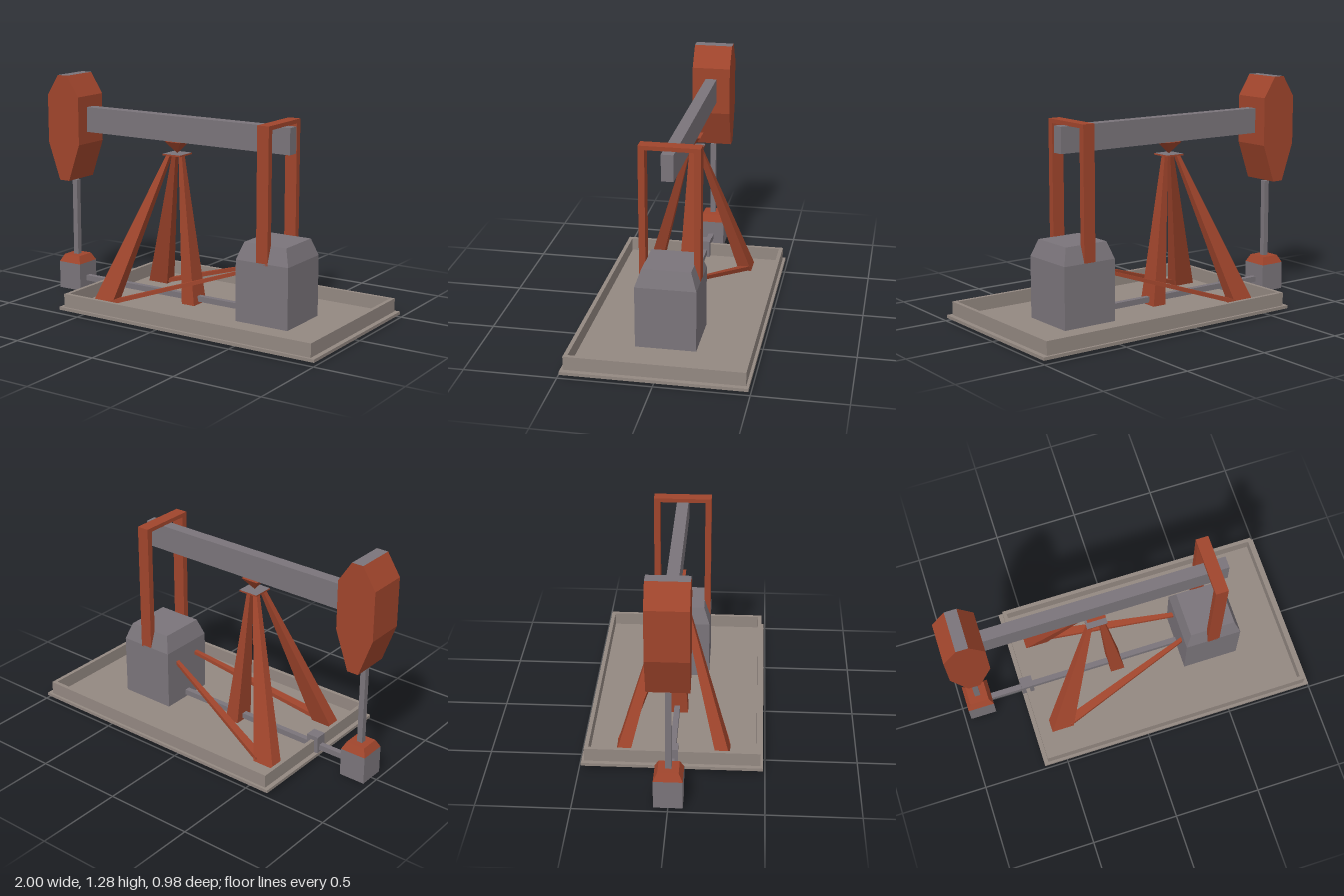
import * as THREE from 'three';

const mat = (color) => new THREE.MeshStandardMaterial({ color, flatShading: true });

export function createModel() {
  const root = new THREE.Group();
  const red = mat(0xa0452c), grey = mat(0x7a747a), stone = mat(0x938881);

  const add = (name, geometry, material, parent = root) => {
    const mesh = new THREE.Mesh(geometry, material);
    mesh.name = name;
    parent.add(mesh);
    return mesh;
  };
  const group = (name) => {
    const g = new THREE.Group();
    g.name = name;
    root.add(g);
    return g;
  };

  // Box given by its limits on each axis
  const box = (x0, x1, y0, y1, z0, z1) =>
    new THREE.BoxGeometry(x1 - x0, y1 - y0, z1 - z0)
      .translate((x0 + x1) / 2, (y0 + y1) / 2, (z0 + z1) / 2);

  // Moves the corners of a unit box by a rule (sx, sy, sz are 0 or 1)
  const shapedBox = (rule) => {
    const g = new THREE.BoxGeometry(1, 1, 1), p = g.attributes.position;
    for (let i = 0; i < p.count; i++) {
      p.setXYZ(i, ...rule(p.getX(i) > 0 ? 1 : 0, p.getY(i) > 0 ? 1 : 0, p.getZ(i) > 0 ? 1 : 0));
    }
    g.computeVertexNormals();
    return g;
  };

  // Tapered block between two rectangles [x0, x1, z0, z1]
  const taper = (y0, bottom, y1, top) => shapedBox((sx, sy, sz) => {
    const r = sy ? top : bottom;
    return [r[sx], sy ? y1 : y0, r[2 + sz]];
  });

  // Tray: floor slab with lip and a raised rim
  const floorY = 0.035;
  const tray = group('tray');
  add('traySlab', box(-0.635, 0.997, 0.018, floorY, -0.49, 0.49), stone, tray);
  const rim = new THREE.Shape([[-0.61, -0.475], [0.97, -0.475], [0.97, 0.475], [-0.61, 0.475]]
    .map(([x, y]) => new THREE.Vector2(x, y)));
  rim.holes.push(new THREE.Path([[-0.588, -0.453], [-0.588, 0.453], [0.948, 0.453], [0.948, -0.453]]
    .map(([x, y]) => new THREE.Vector2(x, y))));
  add('trayRim', new THREE.ExtrudeGeometry(rim, { depth: 0.11 - floorY, bevelEnabled: false })
    .rotateX(-Math.PI / 2).translate(0, floorY, 0), stone, tray);

  // Motor housing with chamfered top
  const housing = group('motorHousing');
  const foot = [0.33, 0.655, -0.165, 0.165];
  add('housingBody', taper(floorY, foot, 0.38, foot), grey, housing);
  add('housingTop', taper(0.38, foot, 0.475, [0.362, 0.623, -0.132, 0.132]), grey, housing);

  // Portal frame that drives the beam
  const frame = group('driveFrame');
  for (const s of [-1, 1]) {
    add('drivePost', box(0.457, 0.528, 0.37, 1.12, -0.0175, 0.0175).translate(0, 0, s * 0.1475), red, frame);
  }
  add('driveCrossbar', box(0.457, 0.528, 1.097, 1.12, -0.13, 0.13), red, frame);

  // Walking beam
  add('walkingBeam', box(-0.79, 0.58, 0.953, 1.098, -0.033, 0.033), grey);

  // Head: tapered above and below, with grey end faces
  const head = group('beamHead');
  const wide = [-1, -0.777, -0.112, 0.112], narrow = [-0.922, -0.855, -0.112, 0.112];
  add('headTop', taper(1.163, wide, 1.283, narrow), [red, red, grey, red, red, red], head);
  add('headMiddle', taper(0.885, wide, 1.163, wide), red, head);
  add('headBottom', taper(0.667, narrow, 0.885, wide), [red, red, red, grey, red, red], head);

  // Tripod legs, bearing plate and pivot
  const tripod = group('tripod');
  const legTop = 0.876;
  for (const s of [-1, 1]) {
    const z = (a, b) => (s > 0 ? [a, b] : [-b, -a]);
    add('frontLeg', taper(floorY, [-0.535, -0.405, ...z(0.235, 0.31)],
      legTop, [-0.21, -0.186, ...z(0.015, 0.042)]), red, tripod);
    // Brace from the foot of the leg to the housing
    const za = z(0.25, 0.308), zb = z(0.066, 0.09);
    add('brace', shapedBox((sx, sy, sz) => sx
      ? [0.34, 0.287 + 0.02 * sy, zb[sz]]
      : [-0.42, 0.035 + 0.025 * sy, za[sz]]), red, tripod);
  }
  add('rearLeg', taper(floorY, [-0.095, -0.012, -0.061, 0.061],
    legTop, [-0.146, -0.124, -0.014, 0.014]), red, tripod);
  add('bearingPlate', box(-0.222, -0.106, legTop, 0.885, -0.06, 0.06),
    [red, red, grey, grey, red, red], tripod);
  add('pivot', new THREE.ConeGeometry(Math.SQRT1_2, 1, 4, 1).rotateY(Math.PI / 4).rotateX(Math.PI)
    .scale(0.104, 0.068, 0.1).translate(-0.164, 0.919, 0), red, tripod);

  // Wellhead with polished rod
  const well = group('wellhead');
  const wellFoot = [-0.967, -0.815, -0.077, 0.077];
  add('wellBox', taper(0, wellFoot, 0.16, wellFoot), grey, well);
  add('wellCap', taper(0.16, wellFoot, 0.203, [-0.946, -0.836, -0.055, 0.055]), red, well);
  add('rod', box(-0.907, -0.875, 0.19, 0.655, -0.016, 0.016), grey, well);

  // Flow pipe and its coupling at the rim
  add('flowPipe', box(-0.82, 0.34, 0.05, 0.082, -0.016, 0.016), grey);
  add('pipeCoupling', box(-0.633, -0.562, 0.035, 0.135, -0.033, 0.033), grey);

  return root;
}
